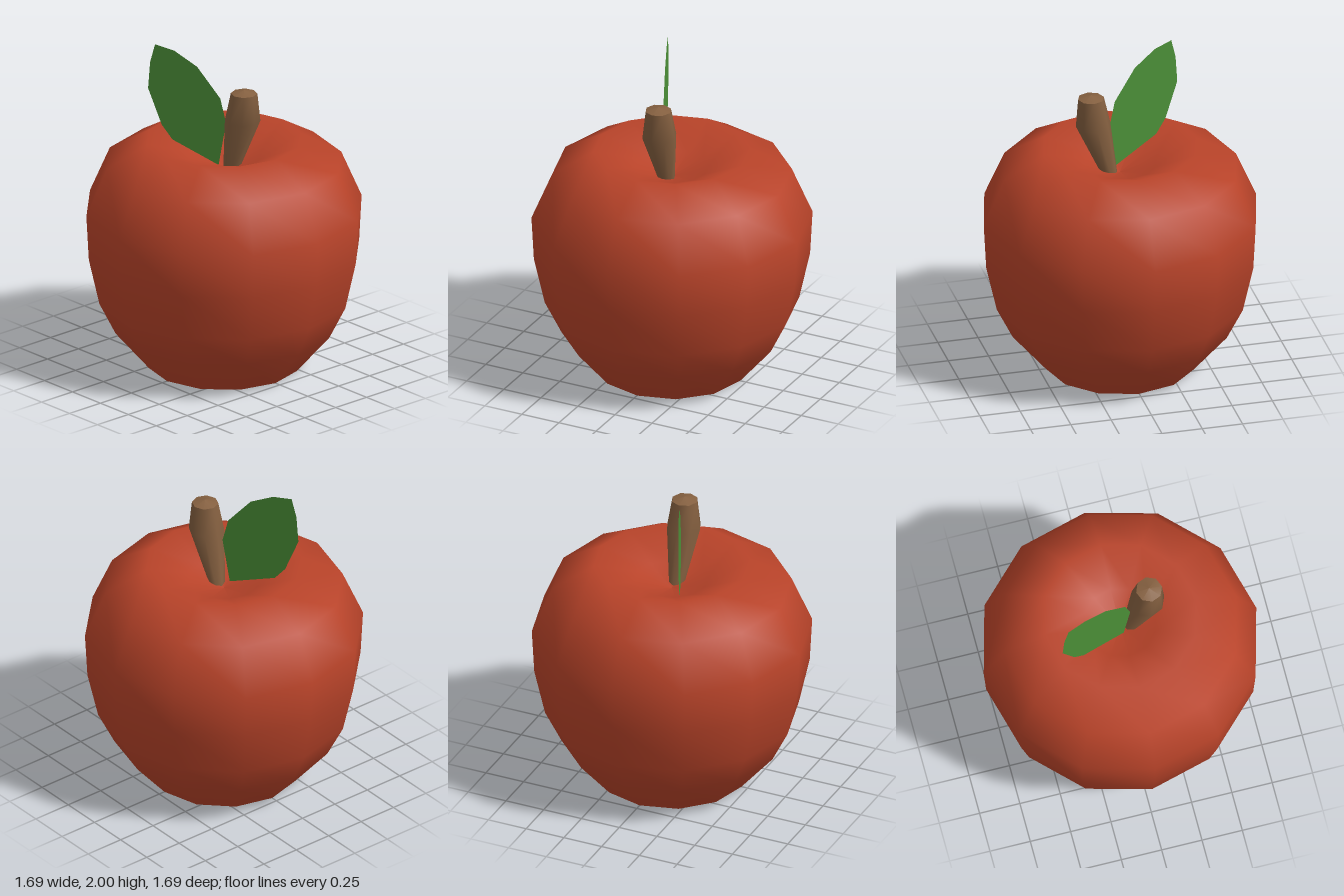
import * as THREE from 'three';

const SIDES = 12;

function material(name, color, side = THREE.FrontSide) {
  const m = new THREE.MeshStandardMaterial({ color, side });
  m.name = name;
  return m;
}

function part(name, geometry, mat) {
  const mesh = new THREE.Mesh(geometry, mat);
  mesh.name = name;
  return mesh;
}

const points = (list) => list.map(([x, y]) => new THREE.Vector2(x, y));

// Bent tube through horizontal rings given as [centre x, y, radius]
function stemGeometry(rings, sides) {
  const geo = new THREE.CylinderGeometry(1, 1, 1, sides, rings.length - 1, true);
  const pos = geo.attributes.position;
  const row = sides + 1;
  for (let i = 0; i < pos.count; i++) {
    const [cx, y, r] = rings[rings.length - 1 - Math.floor(i / row)];
    pos.setXYZ(i, cx + pos.getX(i) * r, y, pos.getZ(i) * r);
  }
  geo.computeVertexNormals();
  // Share the normals across the seam
  const nor = geo.attributes.normal;
  for (let i = 0; i < pos.count; i += row) {
    const n = new THREE.Vector3().fromBufferAttribute(nor, i)
      .add(new THREE.Vector3().fromBufferAttribute(nor, i + sides)).normalize();
    nor.setXYZ(i, n.x, n.y, n.z);
    nor.setXYZ(i + sides, n.x, n.y, n.z);
  }
  return geo;
}

export function createModel() {
  const red = material('apple red', 0xb84329);
  const brown = material('stem brown', 0x856040);
  const green = material('leaf green', 0x4c9038, THREE.DoubleSide);
  const model = new THREE.Group();
  model.name = 'apple';

  // Body, from the base up and over the rim into the dimple
  const profile = points([
    [0.46, 0], [0.665, 0.24], [0.765, 0.44], [0.83, 0.73], [0.845, 1.01],
    [0.72, 1.30], [0.47, 1.445], [0.22, 1.33], [0, 1.27],
  ]);
  model.add(part('body', new THREE.LatheGeometry(profile, SIDES), red));

  // Flat underside
  const base = part('underside', new THREE.CircleGeometry(0.46, SIDES), red);
  base.rotation.x = Math.PI / 2;
  model.add(base);

  // Leaning stem with a slightly raised cut end
  const stem = new THREE.Group();
  stem.name = 'stem';
  const top = [0.18, 1.788, 0.08];
  stem.add(part('stemShaft', stemGeometry(
    [[0.06, 1.25, 0.045], [0.167, 1.61, 0.107], top], 8), brown));
  const end = part('stemEnd', new THREE.ConeGeometry(top[2], 0.022, 8, 1, true), brown);
  end.position.set(top[0], top[1] + 0.011, 0);
  stem.add(end);
  model.add(stem);

  // Upright flat leaf, turned towards the front on one side
  const turn = 0.408;
  const outline = [
    [0.01, 1.29], [0.055, 1.57], [0.02, 1.72], [-0.12, 1.9], [-0.26, 1.98],
    [-0.375, 2.0], [-0.405, 1.88], [-0.417, 1.71], [-0.335, 1.49], [-0.27, 1.405],
  ].map(([x, y]) => [x / Math.cos(turn), y]);
  const leaf = part('leaf', new THREE.ShapeGeometry(new THREE.Shape(points(outline))), green);
  leaf.rotation.y = turn;
  leaf.position.z = 0.057;
  model.add(leaf);

  return model;
}
